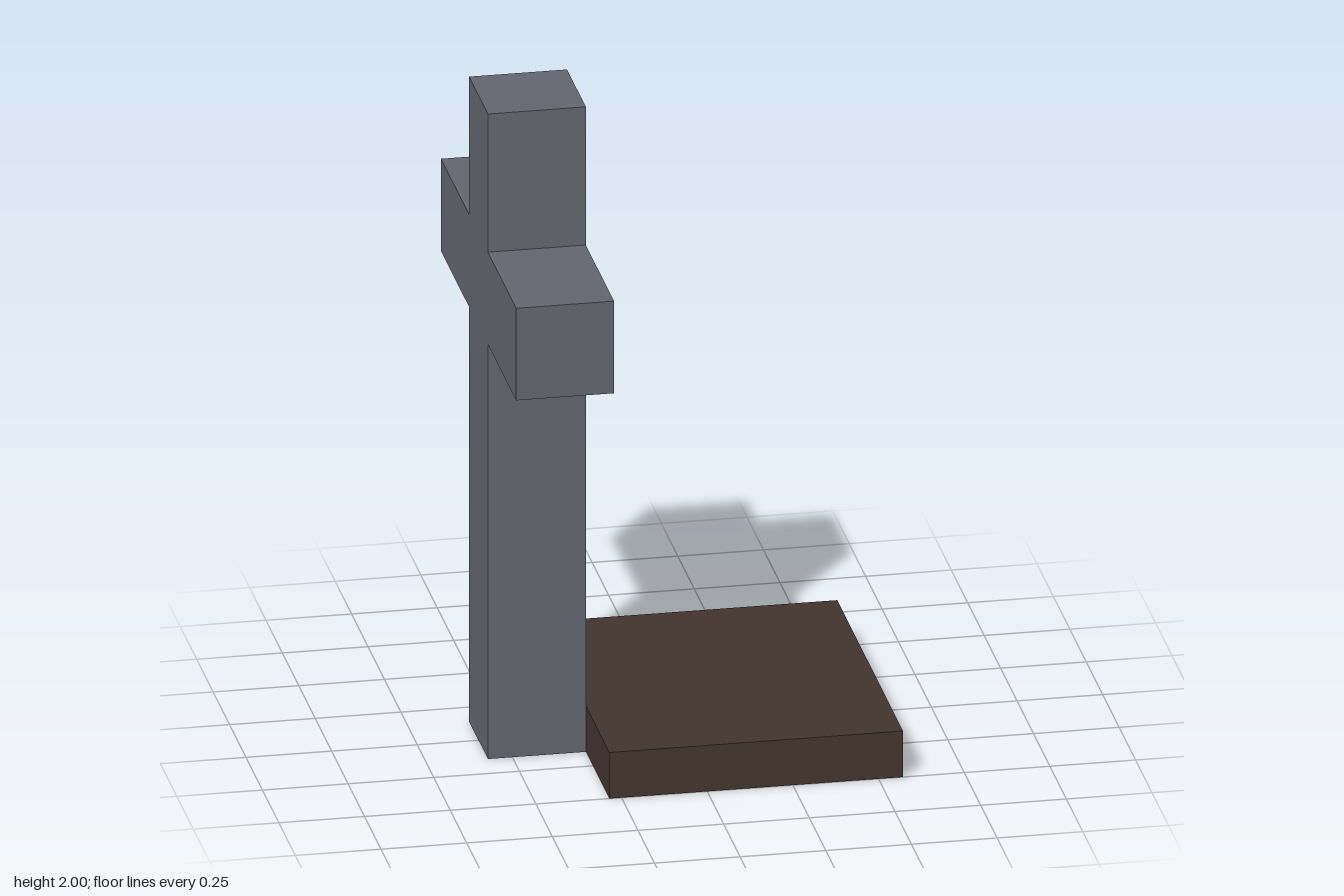
import * as THREE from 'three';

const FACES = ['+x', '-x', '+y', '-y', '+z', '-z'];

// Box between two corners, leaving out the listed sides
function openBox(min, max, omit) {
  const size = max.map((v, i) => v - min[i]);
  const geo = new THREE.BoxGeometry(...size);
  const kept = Array.from(geo.index.array).filter((_, i) => !omit.includes(FACES[Math.floor(i / 6)]));
  geo.setIndex(kept);
  geo.clearGroups();
  geo.translate(...max.map((v, i) => (v + min[i]) / 2));
  return geo;
}

export function createModel() {
  const model = new THREE.Group();
  model.name = 'graveWithCross';

  const stone = new THREE.MeshStandardMaterial({ color: 0x62656e, side: THREE.DoubleSide });
  stone.name = 'greyStone';
  const soil = new THREE.MeshStandardMaterial({ color: 0x42342d, side: THREE.DoubleSide });
  soil.name = 'brownSoil';

  const add = (name, geo, material) => {
    const mesh = new THREE.Mesh(geo, material);
    mesh.name = name;
    model.add(mesh);
  };

  const u = 2 / 7; // thickness of the cross beams
  const x0 = -2 * u, x1 = -u, half = u / 2;

  // Upright post, hollow underneath
  add('post', openBox([x0, 0, -half], [x1, 2, half], ['-y']), stone);

  // Cross arms, open underneath and where they meet the post
  add('leftArm', openBox([x0, 4.5 * u, half], [x1, 5.5 * u, 2 * u], ['-y', '-z']), stone);
  add('rightArm', openBox([x0, 4.5 * u, -2 * u], [x1, 5.5 * u, -half], ['-y', '+z']), stone);

  // Low earth slab in front of the cross, hollow underneath
  add('graveSlab', openBox([x1, 0, -0.5], [2 * u, half, 0.5], ['-y']), soil);

  return model;
}
